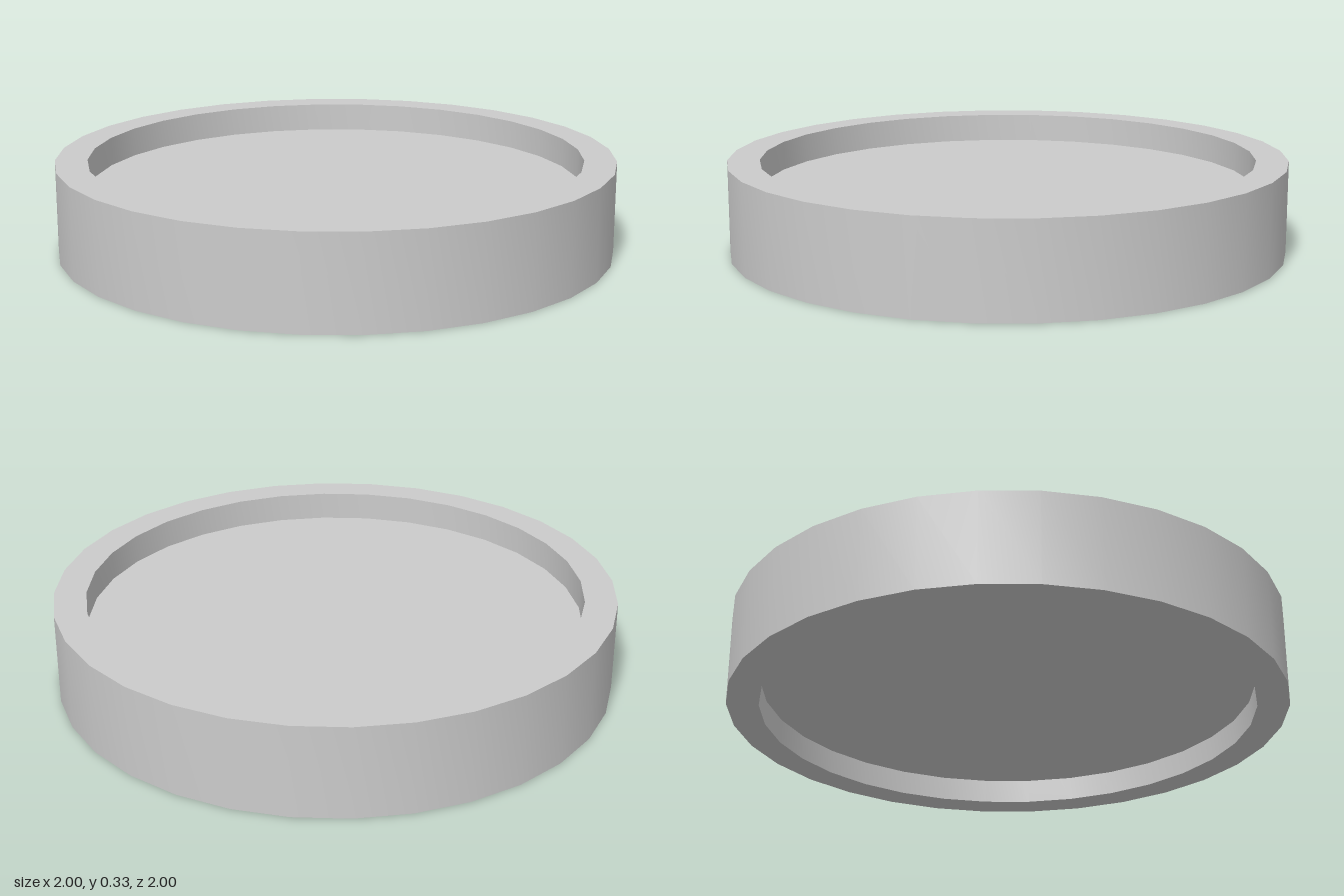
import * as THREE from 'three';
import { toCreasedNormals } from 'three/addons/utils/BufferGeometryUtils.js';

const SIDES = 32;
const TURN = THREE.MathUtils.degToRad(8.13); // facets sit slightly rotated
const OUTER = 1.001, INNER = 0.886, HEIGHT = 0.33;
const PANEL_BOTTOM = 0.091, PANEL_TOP = 0.225;

export function createModel() {
  const group = new THREE.Group();
  group.name = 'recessedDisc';
  const material = new THREE.MeshStandardMaterial({ color: 0xcccccc });

  // Rim: rectangular section swept around the axis
  const section = [
    [INNER, 0], [OUTER, 0], [OUTER, HEIGHT], [INNER, HEIGHT], [INNER, 0],
  ].map(([r, y]) => new THREE.Vector2(r, y));
  const rimGeometry = toCreasedNormals(
    new THREE.LatheGeometry(section, SIDES, TURN), Math.PI / 6);
  const rim = new THREE.Mesh(rimGeometry, material);
  rim.name = 'rim';
  group.add(rim);

  // Panel: thick disc set back from both faces of the rim
  const panel = new THREE.Mesh(
    new THREE.CylinderGeometry(INNER, INNER, PANEL_TOP - PANEL_BOTTOM, SIDES, 1, false, TURN),
    material);
  panel.position.y = (PANEL_TOP + PANEL_BOTTOM) / 2;
  panel.name = 'panel';
  group.add(panel);

  return group;
}
